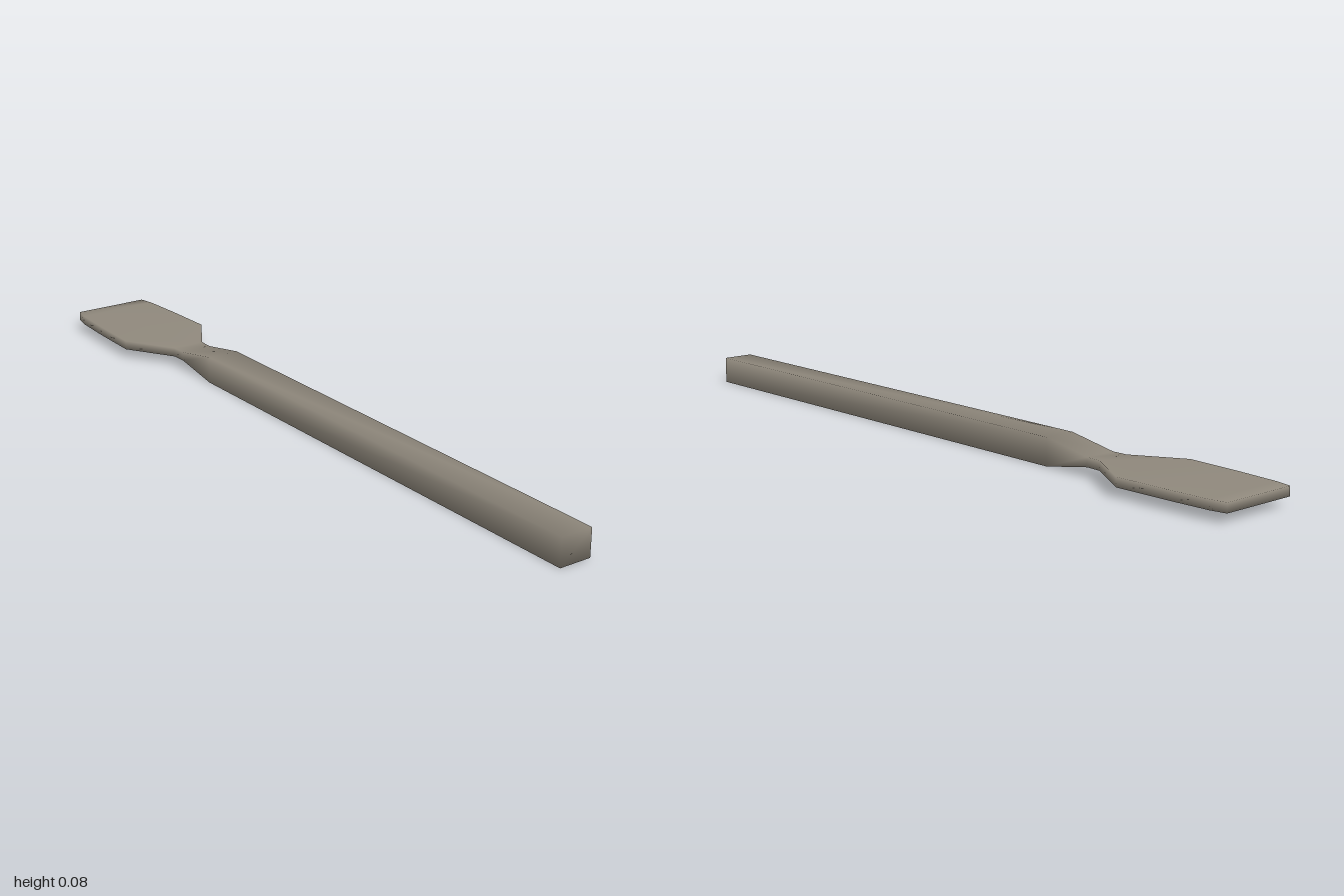
import * as THREE from 'three';

// Stations along the tool: [distance from the handle end, half width, half height]
const STATIONS = [
  [0, 0.05, 0.0415],       // handle end
  [1.578, 0.05, 0.0415],   // start of the flattened neck
  [1.735, 0.05, 0.014],    // neck
  [1.783, 0.052, 0.014],   // root of the blade
  [1.932, 0.144, 0.014],   // blade shoulders
  [2.104, 0.139, 0.014],
  [2.236, 0.131, 0.014],
  [2.284, 0.121, 0.014],   // blade tip
];

// Lofts four-cornered sections along -z with shared corners, so shading is smooth
function loft(stations) {
  const corners = [[-1, -1], [1, -1], [1, 1], [-1, 1]];
  const positions = [];
  const index = [];
  for (const [s, w, h] of stations) {
    for (const [a, b] of corners) positions.push(a * w, b * h, -s);
  }
  const last = (stations.length - 1) * 4;
  for (let r = 0; r < last; r += 4) {
    for (let i = 0; i < 4; i++) {
      const j = (i + 1) % 4;
      index.push(r + i, r + 4 + i, r + 4 + j, r + i, r + 4 + j, r + j);
    }
  }
  index.push(0, 1, 2, 0, 2, 3);
  index.push(last, last + 2, last + 1, last, last + 3, last + 2);
  const geometry = new THREE.BufferGeometry();
  geometry.setAttribute('position', new THREE.Float32BufferAttribute(positions, 3));
  geometry.setIndex(index);
  geometry.computeVertexNormals();
  return geometry;
}

export function createModel() {
  const group = new THREE.Group();
  group.name = 'flatBladedTool';
  const metal = new THREE.MeshStandardMaterial({ color: 0x8f887c });
  metal.name = 'warmGreyMetal';

  // One continuous bar: square handle, pinched neck and flat blade
  const bar = new THREE.Mesh(loft(STATIONS), metal);
  bar.name = 'handleAndBlade';
  bar.position.set(0.971, 0.0415, 0.66);
  bar.rotation.y = Math.atan2(0.833, 0.553); // lies diagonally
  group.add(bar);
  return group;
}
